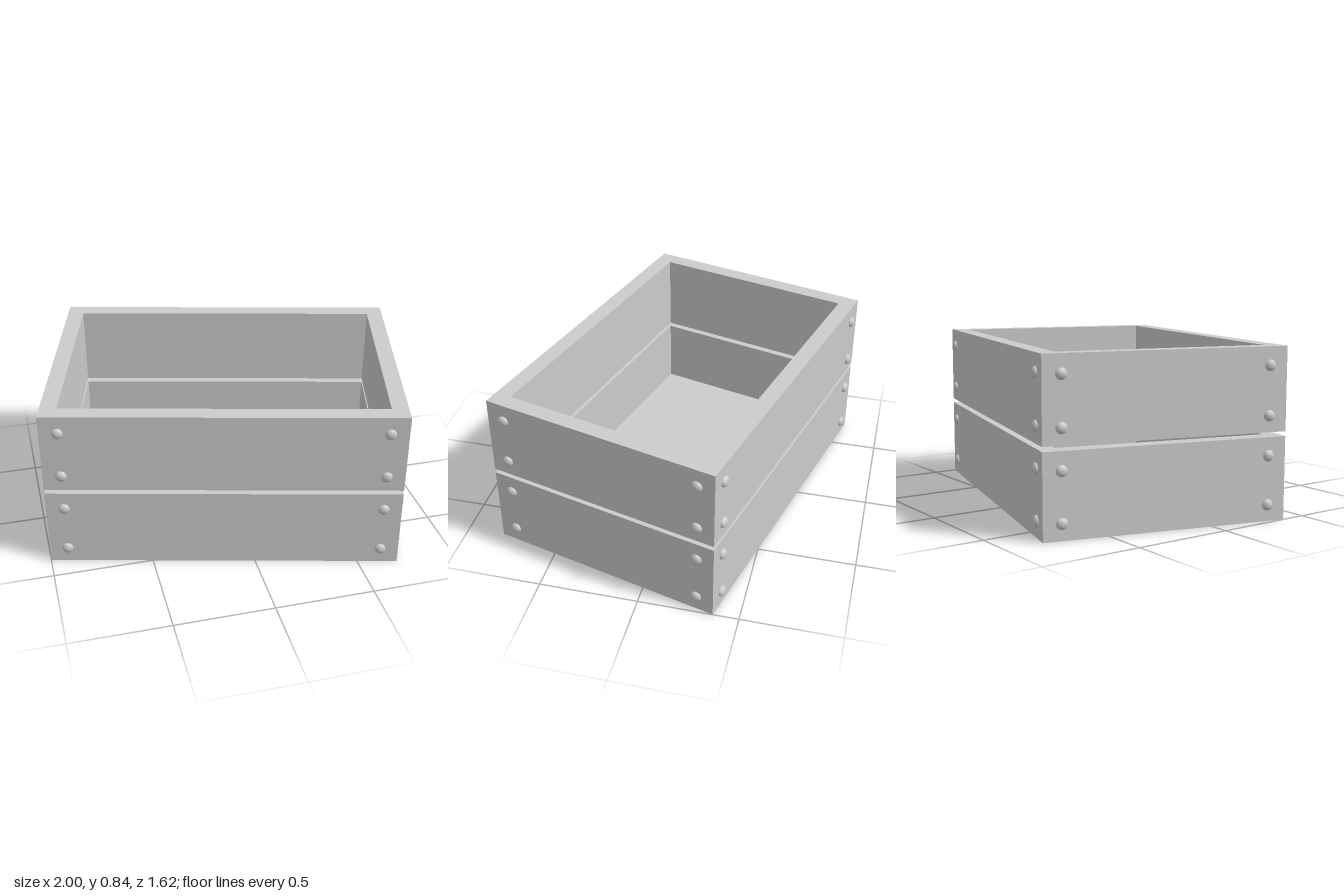
import * as THREE from 'three';

const L = 1.75, W = 1.219, WALL = 0.083, FLOOR = 0.06;
const material = new THREE.MeshStandardMaterial({ color: 0xcccccc });

function rectangle(PathType, w, d) {
  const p = new PathType();
  p.moveTo(-w / 2, -d / 2);
  p.lineTo(w / 2, -d / 2);
  p.lineTo(w / 2, d / 2);
  p.lineTo(-w / 2, d / 2);
  p.closePath();
  return p;
}

// Rectangular ring of boards standing between two heights
function boardRing(name, y0, y1) {
  const shape = rectangle(THREE.Shape, L, W);
  shape.holes.push(rectangle(THREE.Path, L - 2 * WALL, W - 2 * WALL));
  const geo = new THREE.ExtrudeGeometry(shape, { depth: y1 - y0, bevelEnabled: false });
  geo.rotateX(-Math.PI / 2).translate(0, y0, 0);
  const mesh = new THREE.Mesh(geo, material);
  mesh.name = name;
  return mesh;
}

export function createModel() {
  const crate = new THREE.Group();
  crate.name = 'crate';

  crate.add(boardRing('lowerBoards', 0, 0.41), boardRing('upperBoards', 0.433, 0.843));

  // Floor panel inside the lower ring
  const floor = new THREE.Mesh(new THREE.BoxGeometry(L - 2 * WALL, FLOOR, W - 2 * WALL), material);
  floor.position.y = FLOOR / 2;
  floor.name = 'floor';
  crate.add(floor);

  // Domed nail heads: two per board end on all four sides
  const dome = new THREE.SphereGeometry(0.028, 20, 8, 0, Math.PI * 2, 0, Math.PI / 2);
  dome.rotateX(Math.PI / 2).scale(1, 1, 0.7);
  const nails = new THREE.Group();
  nails.name = 'nails';
  for (let side = 0; side < 4; side++) {
    const [span, out] = side % 2 ? [W, L] : [L, W];
    const face = new THREE.Group();
    face.name = 'nailsSide' + side;
    face.rotation.y = side * Math.PI / 2;
    for (const y of [0.08, 0.32, 0.513, 0.753]) {
      for (const s of [-1, 1]) {
        const nail = new THREE.Mesh(dome, material);
        nail.name = 'nailHead';
        nail.position.set(s * (span / 2 - 0.09), y, out / 2);
        face.add(nail);
      }
    }
    nails.add(face);
  }
  crate.add(nails);

  // The crate sits turned on the ground
  crate.rotation.y = -0.252;
  const model = new THREE.Group();
  model.name = 'model';
  model.add(crate);
  return model;
}
